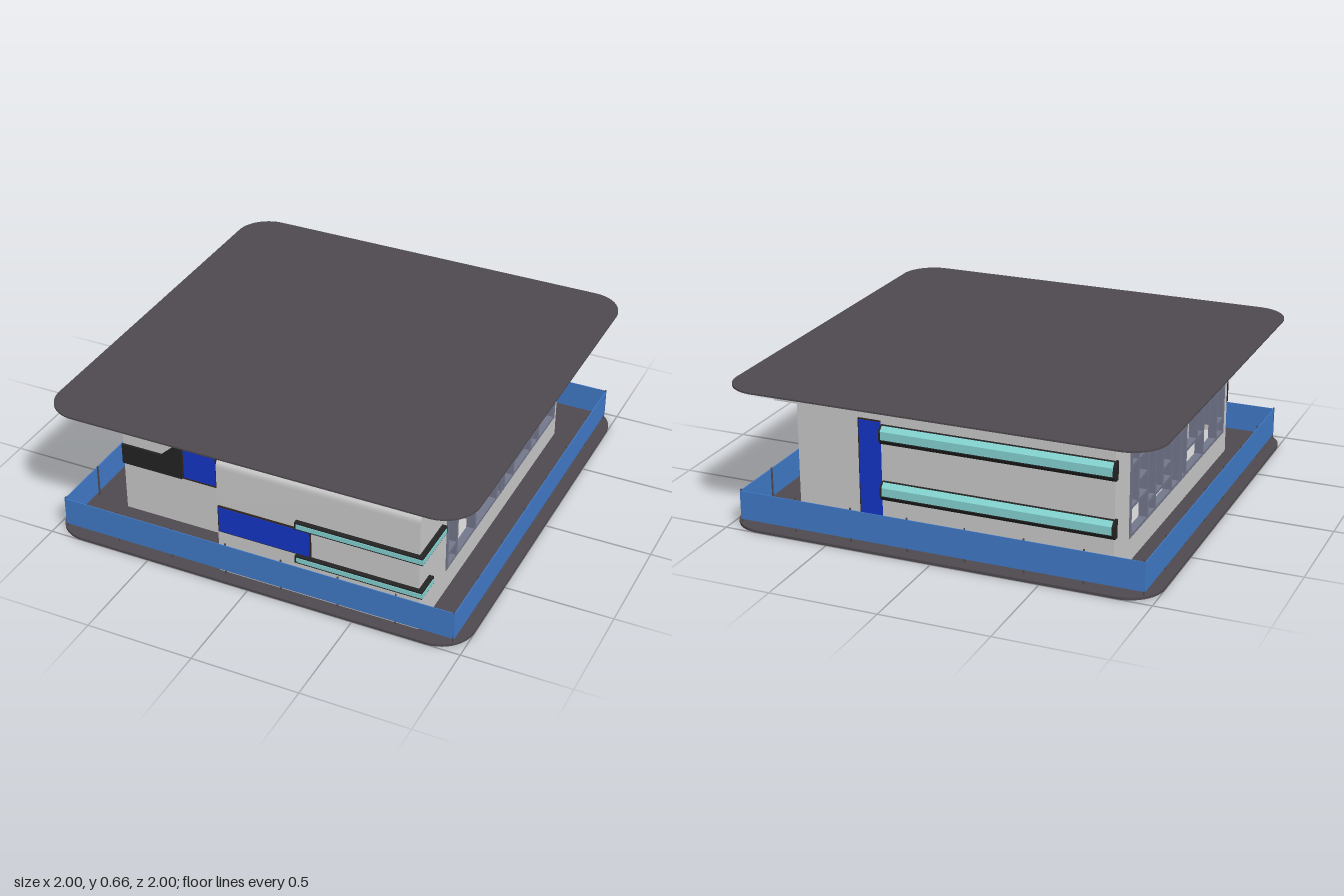
import * as THREE from 'three';
import { toCreasedNormals } from 'three/addons/utils/BufferGeometryUtils.js';

const mat = (color) => new THREE.MeshStandardMaterial({ color, side: THREE.DoubleSide });

export function createModel() {
  const model = new THREE.Group();
  const wall = mat(0xcccccc), dark = mat(0x4f4a4f), black = mat(0x242424), blue = mat(0x1536c8);
  const teal = mat(0x84d4d2), frame = mat(0x74788c), brown = mat(0x33261c), fenceBlue = mat(0x417bca);

  // Box given by its min and max on each axis
  function box(name, material, x0, x1, y0, y1, z0, z1, parent = model) {
    const mesh = new THREE.Mesh(new THREE.BoxGeometry(Math.abs(x1 - x0), y1 - y0, Math.abs(z1 - z0)), material);
    mesh.position.set((x0 + x1) / 2, (y0 + y1) / 2, (z0 + z1) / 2);
    mesh.name = name;
    parent.add(mesh);
    return mesh;
  }

  // Side profile drawn in (z, y), run along x from x0 to x1
  function alongX(name, material, shape, x0, x1, y = 0) {
    const g = new THREE.ExtrudeGeometry(shape, { depth: x1 - x0, bevelEnabled: false, curveSegments: 8 });
    g.rotateY(-Math.PI / 2);
    const mesh = new THREE.Mesh(toCreasedNormals(g, 0.6), material);
    mesh.position.set(x1, y, 0);
    mesh.name = name;
    model.add(mesh);
  }
  const polygon = (pts) => new THREE.Shape(pts.map(([a, b]) => new THREE.Vector2(a, b)));

  // Ground plate and roof plate: rounded squares
  function plate(name, y, h) {
    const s = new THREE.Shape(), r = 0.16, k = 1 - r;
    s.absarc(k, k, r, 0, Math.PI / 2);
    s.absarc(-k, k, r, Math.PI / 2, Math.PI);
    s.absarc(-k, -k, r, Math.PI, Math.PI * 1.5);
    s.absarc(k, -k, r, Math.PI * 1.5, Math.PI * 2);
    const g = new THREE.ExtrudeGeometry(s, { depth: h, bevelEnabled: false, curveSegments: 12 });
    g.rotateX(-Math.PI / 2);
    const mesh = new THREE.Mesh(toCreasedNormals(g, 0.6), dark);
    mesh.position.y = y;
    mesh.name = name;
    model.add(mesh);
  }
  plate('groundPlate', 0, 0.012);
  plate('roofPlate', 0.652, 0.008);

  // Building core, front and rear projecting blocks
  const floor = 0.012;
  box('core', wall, -0.63, 0.63, floor, 0.635, -0.71, 0.7);
  box('frontLeftWall', wall, -0.78, -0.17, floor, 0.635, 0.65, 0.7);
  const front = new THREE.Shape();
  front.moveTo(0.65, floor);
  front.lineTo(0.935, floor);
  front.lineTo(0.935, 0.555);
  front.quadraticCurveTo(0.935, 0.6, 0.895, 0.6);
  front.lineTo(0.65, 0.6);
  alongX('frontBlock', wall, front, -0.17, 0.78);
  box('rearBlock', wall, -0.78, 0.29, floor, 0.6, -0.86, -0.68);
  box('rearWall', wall, 0.29, 0.78, floor, 0.6, -0.71, -0.68);

  // Ceiling slab and cornice
  box('ceilingSlab', wall, -0.78, 0.78, 0.6, 0.635, -0.9, 0.7);
  box('frontSlab', wall, -0.17, 0.78, 0.6, 0.635, 0.7, 0.91);
  box('cornice', wall, -0.818, 0.813, 0.635, 0.652, -0.93, 0.935);

  // Window lattice: bars [z, y0, y1] and rails [y, z0, z1]
  const bars = [[0.64, 0.125, 0.595], [-0.67, 0.125, 0.595], [0.535, 0.13, 0.595], [0.415, 0.25, 0.525],
    [0.325, 0.13, 0.595], [0.23, 0.24, 0.595], [0.07, 0.13, 0.485], [0.01, 0.125, 0.595], [-0.02, 0.125, 0.595],
    [-0.135, 0.13, 0.485], [-0.255, 0.2, 0.595], [-0.355, 0.13, 0.595], [-0.455, 0.13, 0.595],
    [-0.58, 0.26, 0.595]];
  const rails = [[0.59, 0.65, -0.68], [0.13, 0.65, -0.68], [0.525, 0.535, 0.325], [0.485, 0.23, 0],
    [0.485, 0, -0.255], [0.42, 0.535, 0.415], [0.375, 0.23, 0.07], [0.245, 0.325, 0.07], [0.2, 0.65, 0.535],
    [0.275, -0.135, -0.255], [0.45, -0.255, -0.67], [0.35, -0.455, -0.58], [0.26, -0.455, -0.67],
    [0.2, -0.135, -0.455]];
  for (const s of [1, -1]) {
    const side = new THREE.Group();
    side.name = s > 0 ? 'leftWindowWall' : 'rightWindowWall';
    model.add(side);
    box('sill', wall, s * 0.63, s * 0.78, floor, 0.125, -0.68, 0.65, side);
    for (const [z, y0, y1] of bars) box('windowBar', frame, s * 0.745, s * 0.785, y0, y1, z - 0.008, z + 0.008, side);
    for (const [y, z0, z1] of rails) box('windowRail', frame, s * 0.747, s * 0.783, y - 0.007, y + 0.007, z1, z0, side);
    // Blue panels on the inner wall
    for (const [z0, z1] of [[0.17, 0.65], [-0.68, -0.26]])
      for (const [y0, y1] of [[0.235, 0.36], [0.46, 0.597]]) {
        box('innerPanelFrame', brown, s * 0.63, s * 0.636, y0 - 0.004, y1, z0, z1, side);
        box('innerPanel', blue, s * 0.63, s * 0.64, y0, y1 - 0.004, z0 + 0.004, z1 - 0.004, side);
      }
  }

  // Framed blue panels on the front and the rear door
  function panel(name, x0, x1, y0, y1, z, out, b) {
    box(name + 'Frame', brown, x0, x1, y0, y1, z, z + out * 0.008);
    box(name, blue, x0 + b, x1 - b, y0 + b, y1 - b, z, z + out * 0.011);
  }
  panel('frontWindow', -0.475, -0.295, 0.265, 0.445, 0.7, 1, 0.01);
  panel('frontPanel', -0.165, 0.28, 0.23, 0.365, 0.935, 1, 0.005);
  panel('rearDoor', 0.35, 0.475, 0.03, 0.5, -0.71, -1, 0.005);

  // Black stepped sign board beside the front window
  const board = new THREE.Mesh(new THREE.ExtrudeGeometry(polygon([[-0.782, 0.263], [-0.475, 0.263],
    [-0.475, 0.448], [-0.49, 0.448], [-0.58, 0.363], [-0.782, 0.363]]), { depth: 0.015, bevelEnabled: false }), black);
  board.position.z = 0.697;
  board.name = 'frontBoard';
  model.add(board);

  // Front light strips turning the corner onto the left side
  for (const [y, zEnd] of [[0.387, 0.7], [0.211, 0.83]]) {
    box('stripFront', black, 0.21, 0.803, y - 0.018, y + 0.018, 0.92, 0.957);
    box('stripSide', black, 0.76, 0.803, y - 0.018, y + 0.018, zEnd, 0.957);
    box('stripFrontLight', teal, 0.22, 0.806, y - 0.011, y + 0.011, 0.93, 0.96);
    box('stripSideLight', teal, 0.77, 0.806, y - 0.011, y + 0.011, zEnd + 0.01, 0.96);
  }

  // Rear light strips with chamfered section
  const strip = polygon([[-0.85, -0.042], [-0.85, 0.042], [-0.878, 0.042], [-0.895, 0.022], [-0.895, -0.022], [-0.878, -0.042]]);
  const light = polygon([[-0.87, 0.03], [-0.879, 0.043], [-0.898, 0.022], [-0.898, -0.016], [-0.88, -0.016]]);
  for (const y of [0.508, 0.247]) {
    alongX('rearStrip', black, strip, -0.79, 0.285, y);
    alongX('rearStripLight', teal, light, -0.78, 0.275, y);
  }

  // Fence: four runs, each with thin posts
  for (let i = 0; i < 4; i++) {
    const run = new THREE.Group();
    run.name = 'fenceRun';
    run.rotation.y = i * Math.PI / 2;
    box('fencePanel', fenceBlue, -0.95, 0.95, 0.03, 0.165, 0.947, 0.951, run);
    for (let k = 0; k < 7; k++) {
      const x = -0.948 + k * 0.271;
      box('fencePost', dark, x - 0.003, x + 0.003, floor, 0.172, 0.941, 0.947, run);
    }
    model.add(run);
  }
  return model;
}
